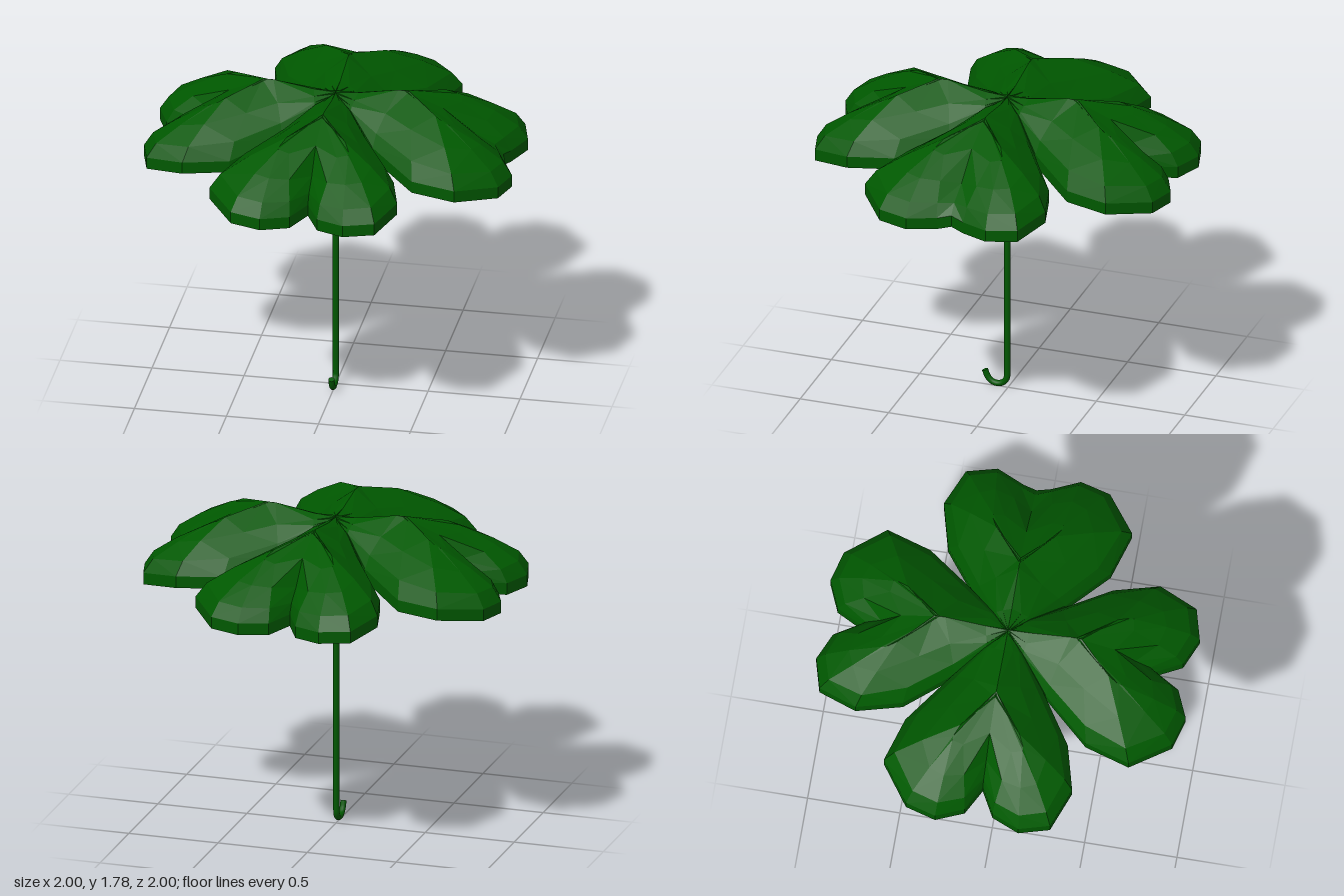
import * as THREE from 'three';

// Half-leaf columns from the hub round the lobe to the notch:
// rim x, y, z, then the crown point x, y, z the column climbs to
const COLUMNS = [
  [0, 1.72, 0, 0, 1.75, 0],
  [0.10, 1.69, 0.10, 0, 1.748, 0.12],
  [0.25, 1.56, 0.25, 0, 1.785, 0.34],
  [0.44, 1.48, 0.50, 0, 1.78, 0.40],
  [0.51, 1.48, 0.745, 0.16, 1.73, 0.57],
  [0.39, 1.45, 0.955, 0.19, 1.70, 0.63],
  [0.225, 1.445, 1.0, 0.19, 1.695, 0.65],
  [0.075, 1.44, 0.935, 0.13, 1.68, 0.66],
  [0, 1.455, 0.80, 0, 1.70, 0.58],
];
const CORE = [0, 1.785, 0.37];
const LIP = 0.065;

// Each ring: share of the way inward, share of the way up, vertical offset
const OUTER = [[0, 0, -LIP], [0, 0, 0], [0.14, 0.3, 0], [0.5, 0.64, 0], [1, 1, 0], ['core', 0, 0]];
const EDGE = [[0, 0, -LIP], [0.09, 0.02, -LIP]];
const INNER = [[0.09, 0.02, -LIP], [0.4, 0.46, -LIP], [1, 1, -LIP], ['core', 0, -LIP]];

function ringPoint(col, i, [t, f, dy], side, notch) {
  let [x, y, z, sx, sy, sz] = col;
  if (t === 'core') {
    if (i < 3) return new THREE.Vector3(sx, sy + dy, sz);
    return new THREE.Vector3(CORE[0], CORE[1] + dy, CORE[2]);
  }
  if (i < 5) x *= side < 0 ? 1.07 : 0.93; // one lobe is a little wider
  if (i === 8) {
    z = notch;
    if (t < 1) f *= 0.75; // the notch valley drops steeply
  }
  return new THREE.Vector3(
    side * THREE.MathUtils.lerp(x, sx, t),
    THREE.MathUtils.lerp(y, sy, f) + dy,
    THREE.MathUtils.lerp(z, sz, t));
}

// Faceted skin through a list of rings, mirrored for both lobes
function skin(rings, facesDown, notch) {
  const out = [];
  const tri = (a, b, c) => {
    const area = b.clone().sub(a).cross(c.clone().sub(a)).length();
    if (area > 1e-7) out.push(...a.toArray(), ...b.toArray(), ...c.toArray());
  };
  for (const side of [1, -1]) {
    const flip = (side < 0) !== facesDown;
    const grid = rings.map(r => COLUMNS.map((c, i) => ringPoint(c, i, r, side, notch)));
    for (let r = 0; r < rings.length - 1; r++) {
      for (let i = 0; i < COLUMNS.length - 1; i++) {
        const a = grid[r][i], b = grid[r][i + 1], c = grid[r + 1][i + 1], d = grid[r + 1][i];
        if (flip) { tri(a, b, c); tri(a, c, d); }
        else { tri(a, c, b); tri(a, d, c); }
      }
    }
  }
  const g = new THREE.BufferGeometry();
  g.setAttribute('position', new THREE.Float32BufferAttribute(out, 3));
  g.computeVertexNormals();
  return g;
}

export function createModel() {
  const model = new THREE.Group();
  model.name = 'cloverUmbrella';
  const leafGreen = new THREE.MeshStandardMaterial({ color: 0x005800 });
  leafGreen.name = 'leaf green';
  const liningGreen = new THREE.MeshStandardMaterial({ color: 0x007a24 });
  liningGreen.name = 'lining green';

  const add = (parent, name, geometry, material) => {
    const mesh = new THREE.Mesh(geometry, material);
    mesh.name = name;
    parent.add(mesh);
    return mesh;
  };

  // Four heart-shaped leaves: front, left, back, right of the canopy
  ['frontLeaf', 'leftLeaf', 'backLeaf', 'rightLeaf'].forEach((name, k) => {
    const leaf = new THREE.Group();
    leaf.name = name;
    const notch = k === 1 ? 0.91 : 0.8; // one leaf has a shallower notch
    add(leaf, 'leafTop', skin(OUTER, false, notch), leafGreen);
    add(leaf, 'leafEdge', skin(EDGE, true, notch), leafGreen);
    add(leaf, 'leafLining', skin(INNER, true, notch), liningGreen);
    leaf.rotation.y = k * Math.PI / 2;
    model.add(leaf);
  });

  // Pole
  const pole = add(model, 'pole', new THREE.CylinderGeometry(0.017, 0.017, 1.64, 10), leafGreen);
  pole.position.set(0, 0.91, 0.004);

  // Hooked handle, curling to the front
  const hook = new THREE.CatmullRomCurve3([
    [0, 0.1, 0.004], [0, 0.06, 0.008], [0, 0.033, 0.03], [0, 0.024, 0.06],
    [0, 0.032, 0.092], [0, 0.056, 0.115], [0, 0.094, 0.13],
  ].map(p => new THREE.Vector3(...p)));
  add(model, 'handle', new THREE.TubeGeometry(hook, 16, 0.017, 10), leafGreen);

  // Cap on the handle end
  const cap = add(model, 'handleEnd', new THREE.CircleGeometry(0.017, 10), leafGreen);
  cap.position.copy(hook.getPoint(1));
  cap.lookAt(hook.getPoint(1).add(hook.getTangent(1)));

  return model;
}
